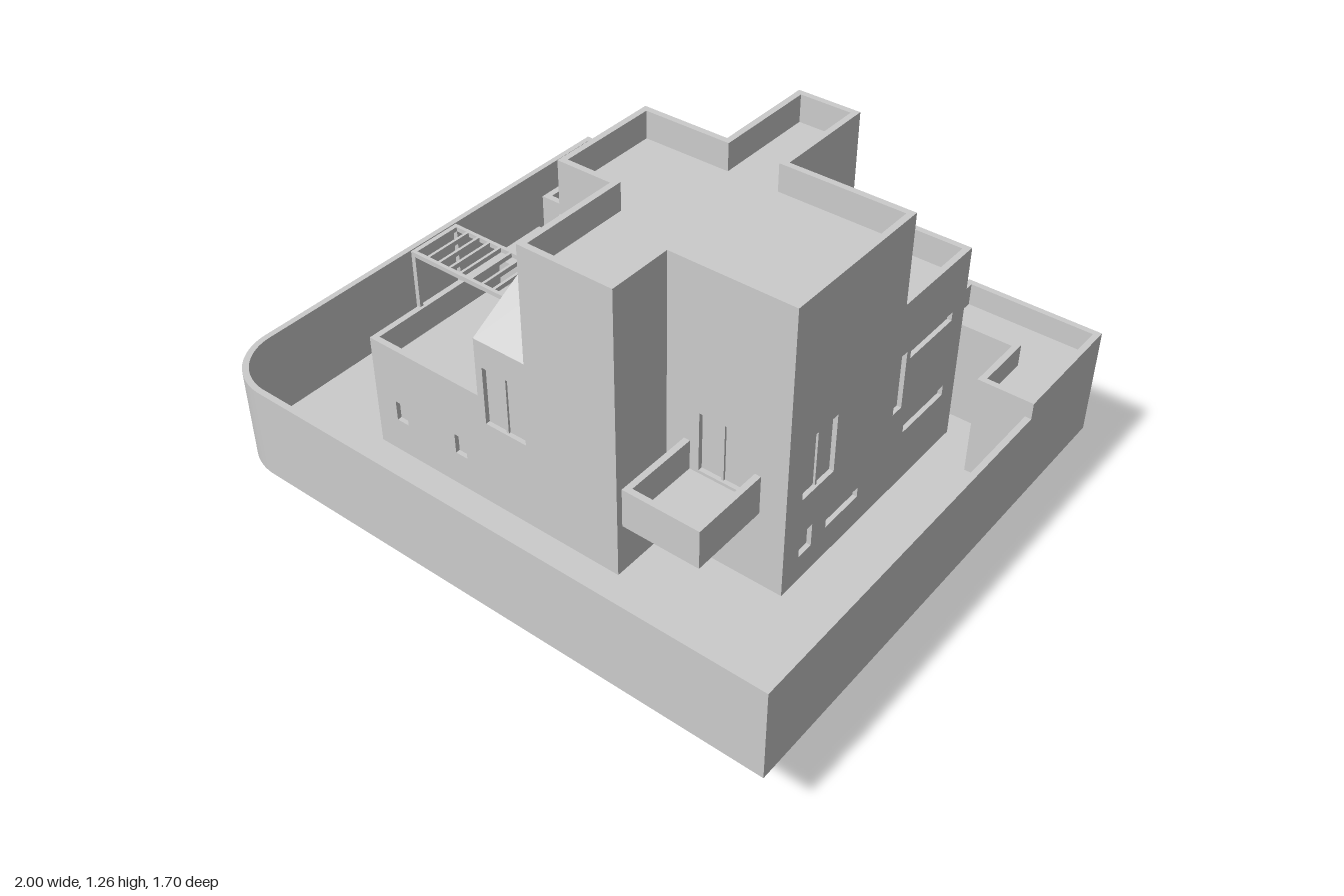
import * as THREE from 'three';

const T = 0.02; // wall thickness
const mat = new THREE.MeshStandardMaterial({ color: 0xcccccc, flatShading: true });

function add(parent, name, geometry) {
  const mesh = new THREE.Mesh(geometry, mat);
  mesh.name = name;
  parent.add(mesh);
  return mesh;
}

function box(parent, name, x0, x1, y0, y1, z0, z1) {
  const mesh = add(parent, name, new THREE.BoxGeometry(x1 - x0, y1 - y0, z1 - z0));
  mesh.position.set((x0 + x1) / 2, (y0 + y1) / 2, (z0 + z1) / 2);
  return mesh;
}

// Extrude a plan shape (x, z) between two heights
function slab(parent, name, shape, y0, y1) {
  const geo = new THREE.ExtrudeGeometry(shape, { depth: y1 - y0, bevelEnabled: false, curveSegments: 16 });
  geo.rotateX(Math.PI / 2).translate(0, y1, 0);
  return add(parent, name, geo);
}

const plan = pts => new THREE.Shape(pts.map(p => new THREE.Vector2(p[0], p[1])));
const rect = (x0, x1, z0, z1) => [[x0, z0], [x1, z0], [x1, z1], [x0, z1]];

// Walls round a plan outline (clockwise from above).
// openings: [edge, from, to, bottom, top], from/to in world x or z; skip: edges left out
function walls(parent, name, pts, y0, y1, openings = [], skip = []) {
  const group = new THREE.Group();
  group.name = name;
  parent.add(group);
  const n = pts.length;
  const dir = i => {
    const a = pts[(i + n) % n], b = pts[(i + 1) % n];
    const l = Math.hypot(b[0] - a[0], b[1] - a[1]);
    return [(b[0] - a[0]) / l, (b[1] - a[1]) / l, l];
  };
  const reflex = (d, e) => d[0] * e[1] - d[1] * e[0] < 0;
  pts.forEach((a, i) => {
    if (skip.includes(i)) return;
    const d = dir(i);
    const s0 = reflex(dir(i - 1 < 0 ? n - 1 : i - 1), d) ? -T : 0;
    const s1 = d[2] + (reflex(d, dir((i + 1) % n)) ? T : 0);
    const shape = plan([[s0, y0], [s1, y0], [s1, y1], [s0, y1]]);
    const panel = new THREE.Group();
    panel.name = name + 'Side';
    for (const [edge, u, v, b, t] of openings) {
      if (edge !== i) continue;
      const o = Math.abs(d[0]) > 0.5 ? a[0] : a[1];
      const p = Math.min(Math.abs(u - o), Math.abs(v - o));
      const q = Math.max(Math.abs(u - o), Math.abs(v - o));
      shape.holes.push(new THREE.Path([[p, b], [p, t], [q, t], [q, b]].map(c => new THREE.Vector2(...c))));
      box(panel, 'windowPane', p, q, b, t, T * 0.75, T);
      if (q - p > 0.12 && t - b > 0.12) {
        box(panel, 'windowMullion', (p + q) / 2 - 0.004, (p + q) / 2 + 0.004, b, t, T * 0.4, T);
      }
    }
    add(panel, 'wallPanel', new THREE.ExtrudeGeometry(shape, { depth: T, bevelEnabled: false }));
    panel.position.set(a[0], 0, a[1]);
    panel.rotation.y = Math.atan2(-d[1], d[0]);
    group.add(panel);
  });
  return group;
}

// Plot outline with one rounded corner, inset by k
function plotOutline(k) {
  const s = new THREE.Shape(), x = 1 - k, z = 0.85 - k, r = 0.2 - k;
  s.moveTo(-x, -z).lineTo(x, -z).lineTo(x, z).lineTo(-x + r, z);
  s.absarc(-x + r, z - r, r, Math.PI / 2, Math.PI, false);
  s.lineTo(-x, -z);
  return s;
}

export function createModel() {
  const model = new THREE.Group();
  model.name = 'house';

  // Plot and boundary wall
  slab(model, 'ground', plotOutline(0), 0.27, 0.29);
  const ring = plotOutline(0);
  ring.holes.push(plotOutline(T));
  slab(model, 'boundaryWall', ring, 0.29, 0.58);

  // Basement
  slab(model, 'basement', plan([[0.08, -0.55], [0.3, -0.55], [0.3, 0.55], [-0.21, 0.55], [-0.21, -0.23], [0.08, -0.23]]), 0, 0.27);
  box(model, 'basementShaft', 0.08, 0.27, 0.02, 0.24, -0.63, -0.55);

  // Raised deck in the back corner
  const deck = [[0.55, -0.85], [1, -0.85], [1, -0.43], [0.82, -0.43], [0.82, -0.63], [0.55, -0.63]];
  walls(model, 'cornerDeckWalls', deck, 0.28, 0.635);
  slab(model, 'cornerDeckFloor', plan(deck), 0.54, 0.56);

  // Ground and first floor
  const body = [[-0.44, -0.55], [0.69, -0.55], [0.69, 0.335], [0.29, 0.335], [0.29, 0.55], [-0.21, 0.55], [-0.21, 0], [-0.44, 0]];
  walls(model, 'mainWalls', body, 0.28, 0.88, [
    [0, 0.36, 0.41, 0.59, 0.79], [0, -0.16, 0.08, 0.75, 0.785], [0, -0.36, -0.26, 0.69, 0.79],
    [0, 0.35, 0.4, 0.36, 0.44], [0, 0.12, 0.17, 0.4, 0.48],
    [1, 0.11, 0.26, 0.59, 0.79], [1, -0.235, -0.19, 0.59, 0.79], [1, -0.48, -0.255, 0.755, 0.785],
    [1, 0.2, 0.26, 0.38, 0.46], [1, -0.03, 0.13, 0.395, 0.43], [1, -0.48, -0.26, 0.48, 0.515],
    [2, 0.4, 0.55, 0.59, 0.79],
    [4, -0.185, -0.035, 0.59, 0.79],
    [5, 0.19, 0.33, 0.6, 0.79],
    [7, -0.42, -0.31, 0.59, 0.79], [7, -0.17, -0.05, 0.6, 0.79],
    [7, -0.41, -0.31, 0.38, 0.48], [7, -0.17, -0.07, 0.3, 0.48],
  ]);
  slab(model, 'mainRoof', plan(body), 0.86, 0.88);

  // Roof terrace parapets on both sides of the tower
  const leftPart = [[-0.44, -0.55], [0.08, -0.55], [0.08, -0.2], [-0.21, -0.2], [-0.21, 0], [-0.44, 0]];
  walls(model, 'rearTerraceParapet', leftPart, 0.88, 0.97, [], [1, 2, 3]);
  walls(model, 'sideTerraceParapet', rect(0.29, 0.69, -0.55, -0.2), 0.88, 0.97, [], [2, 3]);

  // Cross-shaped top floor
  const tower = [[-0.21, -0.2], [0.08, -0.2], [0.08, -0.55], [0.29, -0.55], [0.29, -0.2], [0.69, -0.2],
    [0.69, 0.335], [0.29, 0.335], [0.29, 0.55], [-0.025, 0.55], [-0.025, 0.18], [-0.21, 0.18]];
  walls(model, 'towerWalls', tower, 0.88, 1.265, [
    [0, -0.19, -0.04, 0.9, 1.1], [2, 0.11, 0.26, 1.04, 1.09],
    [4, 0.42, 0.58, 0.9, 1.1], [11, -0.17, -0.03, 0.9, 1.1],
  ]);
  slab(model, 'towerRoof', plan(tower), 1.155, 1.175);

  // Sloping roof in the front corner
  const wedge = new THREE.ExtrudeGeometry(plan([[-0.55, 0.88], [-0.18, 0.88], [-0.18, 1.09]]), { depth: 0.185, bevelEnabled: false });
  wedge.rotateY(Math.PI / 2).translate(-0.21, 0, 0);
  add(model, 'slopingRoof', wedge);

  // Low wing with a terrace on top
  const wing = rect(-0.64, -0.21, 0, 0.55);
  walls(model, 'wingWalls', wing, 0.28, 0.68, [
    [2, -0.56, -0.515, 0.41, 0.48], [2, -0.32, -0.275, 0.41, 0.48],
    [3, 0.08, 0.17, 0.3, 0.5], [3, 0.36, 0.46, 0.3, 0.5],
  ], [1]);
  slab(model, 'wingTerraceFloor', plan(wing), 0.57, 0.59);

  // Pergola over the terrace
  const pergola = new THREE.Group();
  pergola.name = 'pergola';
  model.add(pergola);
  for (const z of [0.165, 0.34]) {
    box(pergola, 'pergolaPost', -0.645, -0.63, 0.59, 0.875, z, z + 0.012);
    box(pergola, 'pergolaBeam', -0.645, -0.21, 0.86, 0.875, z, z + 0.012);
  }
  box(pergola, 'pergolaEndBeam', -0.645, -0.63, 0.86, 0.875, 0.165, 0.352);
  for (let i = 0; i < 9; i++) {
    const x = -0.59 + i * 0.043;
    box(pergola, 'pergolaSlat', x, x + 0.009, 0.86, 0.875, 0.17, 0.345);
  }

  // Balconies
  for (const [name, pts, skip] of [
    ['frontBalcony', rect(0.35, 0.605, 0.335, 0.6), 0],
    ['sideBalcony', rect(-0.65, -0.44, -0.47, -0.26), 1],
  ]) {
    walls(model, name + 'Parapet', pts, 0.55, 0.68, [], [skip]);
    slab(model, name + 'Floor', plan(pts), 0.55, 0.58);
  }

  // Entrance porch
  box(model, 'porchCanopy', -0.65, -0.44, 0.65, 0.675, -0.2, 0);
  box(model, 'porchPost', -0.65, -0.63, 0.29, 0.65, -0.2, -0.18);
  box(model, 'porchBase', -0.65, -0.4, 0.255, 0.3, -0.2, 0);

  return model;
}
